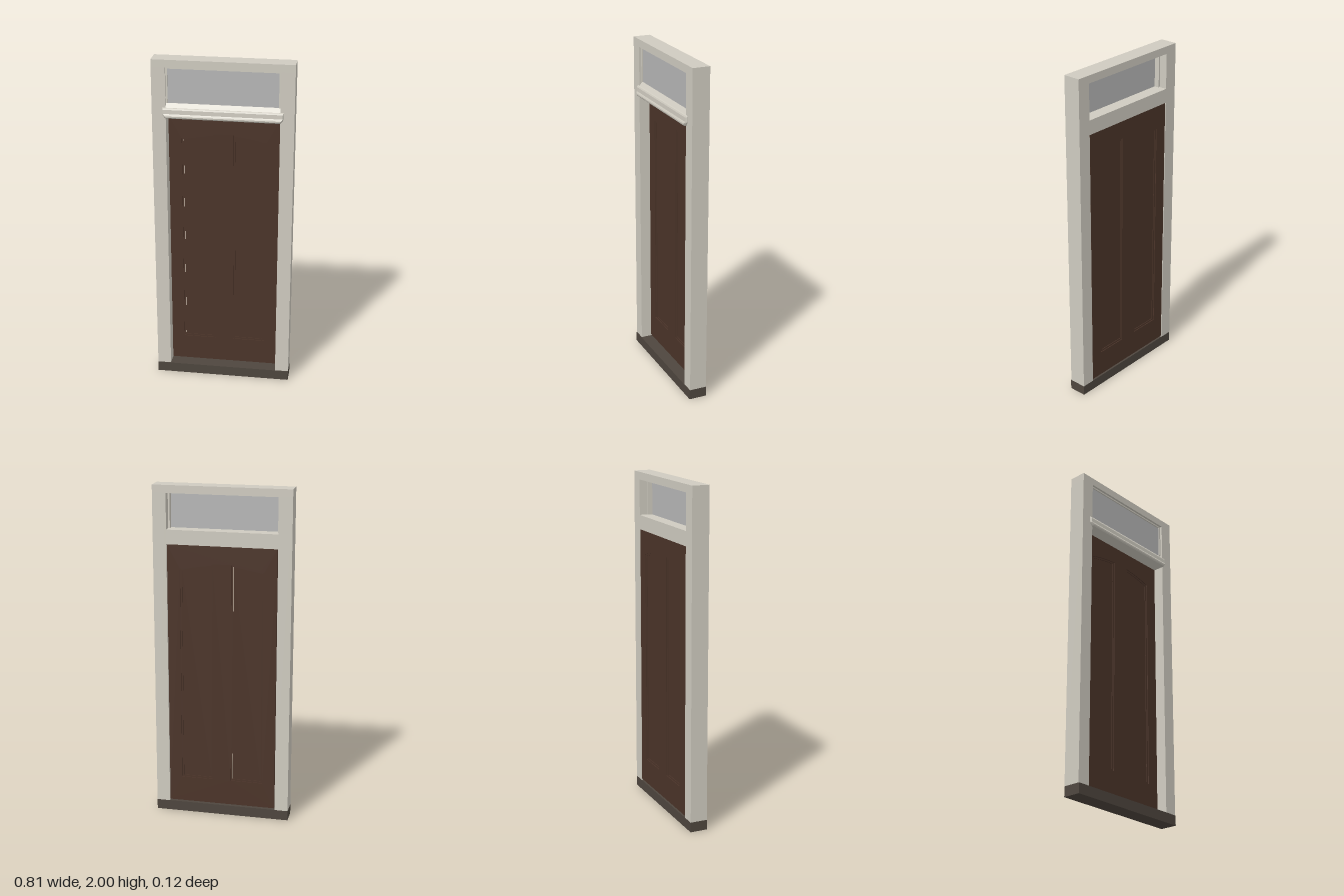
import * as THREE from 'three';

const paint = new THREE.MeshStandardMaterial({ color: 0xcfcbc0 });
const wood = new THREE.MeshStandardMaterial({ color: 0x4b3429 });
const stone = new THREE.MeshStandardMaterial({ color: 0x4e463e });
const pane = new THREE.MeshStandardMaterial({ color: 0xb6b6b6 });

const BACK = -0.06, FRONT = 0.043;

export function createModel() {
  const model = new THREE.Group();
  model.name = 'doorway';

  const add = (name, geometry, material, parent = model) => {
    const mesh = new THREE.Mesh(geometry, material);
    mesh.name = name;
    parent.add(mesh);
    return mesh;
  };
  // Box given by its limits on each axis
  const block = (name, material, [x0, x1], [y0, y1], [z0, z1]) =>
    add(name, new THREE.BoxGeometry(x1 - x0, y1 - y0, z1 - z0), material)
      .position.set((x0 + x1) / 2, (y0 + y1) / 2, (z0 + z1) / 2);
  // Both limits mirrored for the side s (+1 left, -1 right)
  const side = (s, a, b) => (s > 0 ? [a, b] : [-b, -a]);

  // Frame
  block('threshold', stone, [-0.405, 0.405], [0, 0.06], [BACK, 0.046]);
  block('header', paint, [-0.405, 0.405], [1.955, 2], [BACK, FRONT]);
  for (const s of [1, -1]) {
    const label = s > 0 ? 'left' : 'right';
    block(label + 'Jamb', paint, side(s, 0.325, 0.405), [0.06, 1.955], [BACK, FRONT]);
    block(label + 'GlazingStop', paint, side(s, 0.315, 0.325), [1.745, 1.955], [-0.013, 0.03]);
  }
  block('topGlazingStop', paint, [-0.315, 0.315], [1.946, 1.955], [-0.013, 0.03]);
  block('transomGlass', pane, [-0.316, 0.316], [1.74, 1.947], [0.017, 0.023]);

  // Extrudes a (z, y) section along x, centred on x = 0
  const alongX = (points, length) => {
    const shape = new THREE.Shape(points.map(([z, y]) => new THREE.Vector2(-z, y)));
    return new THREE.ExtrudeGeometry(shape, { depth: length, bevelEnabled: false })
      .translate(0, 0, -length / 2).rotateY(Math.PI / 2);
  };

  // Transom rail with a weathered front edge
  add('transomRail', alongX([[BACK, 1.66], [FRONT, 1.66], [FRONT, 1.722],
    [0.024, 1.745], [BACK, 1.745]], 0.65), paint);

  // Drip moulding: the section runs round the front and returns at both ends
  const section = [[0, 1.722], [0.006, 1.72], [0.01, 1.712], [0.011, 1.688], [0.014, 1.683],
    [0.017, 1.676], [0.016, 1.668], [0.011, 1.662], [0, 1.66]];
  const halfWidth = (y) => (y > 1.685 ? 0.345 : 0.345 - (1.685 - y) * 0.7);
  const position = [];
  const quad = (a, b, c, d) => position.push(...a, ...b, ...c, ...a, ...c, ...d);
  const ring = ([out, y]) => {
    const w = halfWidth(y), inner = w - 0.6 * out;
    return [[-w, y, FRONT], [-w, y, FRONT + out * 0.4], [-inner, y, FRONT + out],
      [inner, y, FRONT + out], [w, y, FRONT + out * 0.4], [w, y, FRONT]];
  };
  for (let i = 0; i < section.length - 1; i++) {
    const upper = ring(section[i]), lower = ring(section[i + 1]);
    for (let j = 0; j < 5; j++) quad(lower[j], lower[j + 1], upper[j + 1], upper[j]);
  }
  const moulding = new THREE.BufferGeometry();
  moulding.setAttribute('position', new THREE.Float32BufferAttribute(position, 3));
  moulding.computeVertexNormals();
  add('dripMoulding', moulding, paint);

  // Door leaf: outline of an arched panel, inset by d
  const panelOutline = (s, d, Type = THREE.Shape) => {
    const x0 = 0.055 + d, x1 = 0.247 - d, points = [[x0, 0.225 + d], [x1, 0.225 + d]];
    for (let i = 0; i <= 8; i++) {
      const x = x1 + (x0 - x1) * i / 8;
      points.push([x, 1.557 - 0.6 * x * x - d]);
    }
    return new Type(points.map(([x, y]) => new THREE.Vector2(s * x, y)));
  };
  const slab = (shape, z0, z1) =>
    new THREE.ExtrudeGeometry(shape, { depth: z1 - z0, bevelEnabled: false }).translate(0, 0, z0);

  const door = new THREE.Group();
  door.name = 'door';
  model.add(door);
  const leaf = new THREE.Shape([[-0.322, 0.07], [0.322, 0.07], [0.322, 1.659], [-0.322, 1.659]]
    .map(([x, y]) => new THREE.Vector2(x, y)));
  for (const s of [1, -1]) {
    const label = s > 0 ? 'left' : 'right';
    leaf.holes.push(panelOutline(s, 0, THREE.Path));
    // Stepped bead around a recessed panel, the same on both faces
    const bead = panelOutline(s, 0);
    bead.holes.push(panelOutline(s, 0.011, THREE.Path));
    add(label + 'PanelBead', slab(bead, -0.053, -0.025), wood, door);
    add(label + 'Panel', slab(panelOutline(s, 0.011), -0.049, -0.029), wood, door);
  }
  add('doorLeaf', slab(leaf, -0.058, -0.02), wood, door);

  return model;
}
